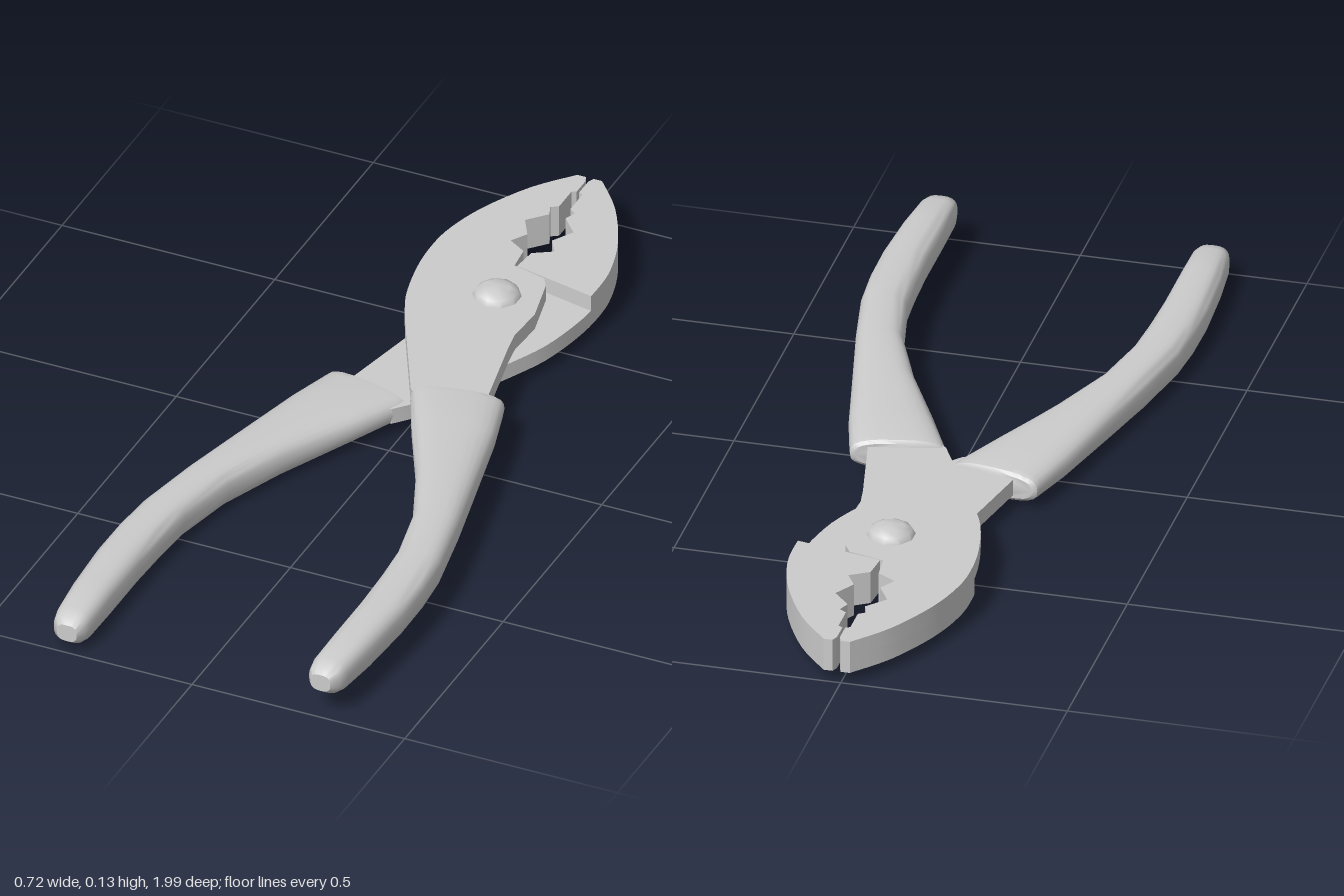
import * as THREE from 'three';
import { toCreasedNormals } from 'three/addons/utils/BufferGeometryUtils.js';

const MID = 0.0665; // height of the contact plane between the two halves
const material = new THREE.MeshStandardMaterial({ color: 0xcccccc });

function addMesh(parent, name, geometry, crease = 0.6) {
  const mesh = new THREE.Mesh(toCreasedNormals(geometry, crease), material);
  mesh.name = name;
  parent.add(mesh);
  return mesh;
}

// Flat plate from [x, z] corners, extruded upwards from y0 to y1
function plate(points, y0, y1) {
  const shape = new THREE.Shape(points.map(([x, z]) => new THREE.Vector2(x, -z)));
  const geo = new THREE.ExtrudeGeometry(shape, { depth: y1 - y0, bevelEnabled: false });
  return geo.rotateX(-Math.PI / 2).translate(0, y0, 0);
}

// Smooth run of points through a few [x, z] controls
function smooth(points, n) {
  const curve = new THREE.SplineCurve(points.map(([x, z]) => new THREE.Vector2(x, z)));
  return curve.getPoints(n).map((p) => [p.x, p.y]);
}

// Toothed gripping edge, from the pivot to the tip
const teeth = [
  [0.006, -0.625], [0, -0.683], [-0.042, -0.709], [-0.02, -0.746], [-0.048, -0.794],
  [-0.01, -0.836], [-0.02, -0.862], [-0.004, -0.873], [-0.004, -0.935], [0.006, -0.94],
  [0.006, -0.985], [0, -1], [-0.02, -1],
];
const jawCurve = [[-0.02, -1], [-0.09, -0.915], [-0.15, -0.8], [-0.18, -0.7], [-0.187, -0.62]];
const pivotCurve = [[-0.187, -0.62], [-0.18, -0.53], [-0.155, -0.42], [-0.115, -0.33]];
const outer = smooth([...jawCurve, ...pivotCurve.slice(1)], 28).slice(1);

// Outline of the layer that carries jaw, pivot and tang
const fullOutline = [
  ...teeth, ...outer,
  [0.005, -0.1], [0.04, -0.06], [0.16, -0.08], [0.17, -0.13],
  [0.128, -0.33], [0.12, -0.38], [0.125, -0.47], [0.1, -0.58], [0.085, -0.605],
];
// Jaw only, ending at the step beside the pivot
const jawOutline = [...teeth, ...outer.filter((p) => p[1] < -0.59), [-0.186, -0.585]];

// Grip sections: outer x, outer z, inner x, inner z, half height
const gripSections = [
  [0.198, -0.143, 0.016, -0.104, 0.027],
  [0.208, -0.138, 0.006, -0.098, 0.034],
  [0.213, -0.122, 0.012, -0.082, 0.036],
  [0.243, -0.016, 0.07, 0.037, 0.039],
  [0.29, 0.196, 0.153, 0.196, 0.044],
  [0.323, 0.344, 0.217, 0.35, 0.045],
  [0.353, 0.5, 0.249, 0.5, 0.045],
  [0.361, 0.6, 0.256, 0.6, 0.045],
  [0.362, 0.71, 0.26, 0.71, 0.045],
  [0.354, 0.85, 0.26, 0.85, 0.044],
  [0.344, 0.95, 0.26, 0.95, 0.039],
  [0.337, 0.978, 0.265, 0.978, 0.032],
  [0.322, 0.994, 0.276, 0.994, 0.02],
];

// Loft of rounded sections, closed by a fan at either end
function gripGeometry(centreY, sides = 24) {
  const pos = [];
  const index = [];
  const round = (v) => Math.sign(v) * Math.abs(v) ** 0.7;
  for (const [ox, oz, ix, iz, h] of gripSections) {
    for (let i = 0; i < sides; i++) {
      const a = (i / sides) * Math.PI * 2;
      const t = (1 + round(Math.cos(a))) / 2;
      pos.push(ix + (ox - ix) * t, centreY + h * round(Math.sin(a)), iz + (oz - iz) * t);
    }
  }
  const rings = gripSections.length;
  for (let r = 0; r < rings - 1; r++) {
    for (let i = 0; i < sides; i++) {
      const a = r * sides + i;
      const b = r * sides + ((i + 1) % sides);
      index.push(a, a + sides, b, b, a + sides, b + sides);
    }
  }
  const last = (rings - 1) * sides;
  for (let i = 1; i < sides - 1; i++) {
    index.push(0, i, i + 1);
    index.push(last, last + i + 1, last + i);
  }
  // Orient all faces outwards
  for (let i = 0; i < index.length; i += 3) {
    [index[i + 1], index[i + 2]] = [index[i + 2], index[i + 1]];
  }
  const geo = new THREE.BufferGeometry();
  geo.setAttribute('position', new THREE.Float32BufferAttribute(pos, 3));
  geo.setIndex(flipIfInward(pos, index));
  return geo;
}

// Signed volume decides whether the winding needs reversing
function flipIfInward(pos, index) {
  const v = (i) => new THREE.Vector3().fromArray(pos, i * 3);
  let volume = 0;
  for (let i = 0; i < index.length; i += 3) {
    volume += v(index[i]).dot(v(index[i + 1]).cross(v(index[i + 2])));
  }
  return volume < 0 ? [...index].reverse() : index;
}

export function createModel() {
  const model = new THREE.Group();
  model.name = 'pliers';

  // The second half is the first turned half way round the long axis
  for (const [side, turned] of [['upper', false], ['lower', true]]) {
    const metal = new THREE.Group();
    metal.name = side + 'Half';
    addMesh(metal, 'jawAndTang', plate(fullOutline, MID + 0.0003, 0.104));
    addMesh(metal, 'jawBlock', plate(jawOutline, 0.029, MID + 0.0003));

    const grip = new THREE.Group();
    grip.name = side + 'Handle';
    addMesh(grip, 'grip', gripGeometry(0.0855), 0.7);

    if (turned) {
      metal.rotation.z = grip.rotation.z = Math.PI;
      metal.position.set(0.018, MID * 2, 0);
      grip.position.set(0.002, MID * 2, 0);
    }
    model.add(metal, grip);
  }

  // Rivet with a domed head on both faces
  const profile = [
    [0, 0.003], [0.03, 0.008], [0.046, 0.016], [0.053, 0.029],
    [0.053, 0.104], [0.046, 0.117], [0.03, 0.125], [0, 0.13],
  ].map(([r, y]) => new THREE.Vector2(r, y));
  const rivet = addMesh(model, 'pivotRivet', new THREE.LatheGeometry(profile, 10), 0.75);
  rivet.position.set(0.02, 0, -0.505);

  return model;
}
